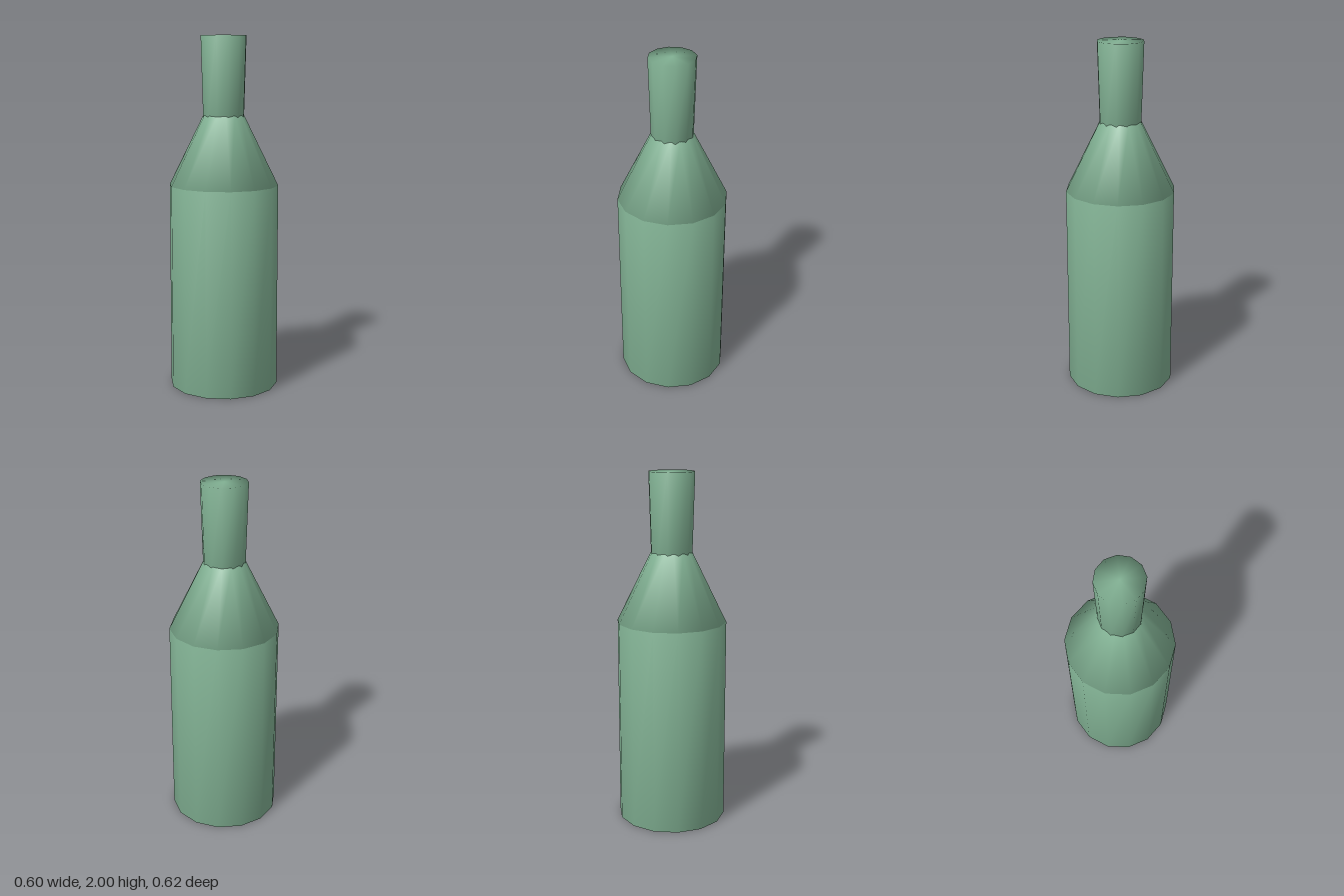
import * as THREE from 'three';
import { mergeVertices } from 'three/addons/utils/BufferGeometryUtils.js';

const glass = new THREE.MeshStandardMaterial({ color: 0x82b294 });
glass.name = 'greenGlass';

// Capped tapered section whose normals run smoothly over the rims
function section(name, bottomRadius, topRadius, bottom, top, sides) {
  let geometry = new THREE.CylinderGeometry(topRadius, bottomRadius, top - bottom, sides);
  geometry.deleteAttribute('normal');
  geometry.deleteAttribute('uv');
  geometry = mergeVertices(geometry, 1e-4);
  geometry.computeVertexNormals();
  const mesh = new THREE.Mesh(geometry, glass);
  mesh.name = name;
  mesh.position.y = (bottom + top) / 2;
  return mesh;
}

export function createModel() {
  const bottle = new THREE.Group();
  bottle.name = 'bottle';
  bottle.add(
    section('body', 0.31, 0.31, 0, 1.165, 14),
    section('shoulder', 0.31, 0.115, 1.165, 1.56, 14),
    section('neck', 0.117, 0.13, 1.54, 2, 12), // flares slightly to the mouth
  );
  return bottle;
}
